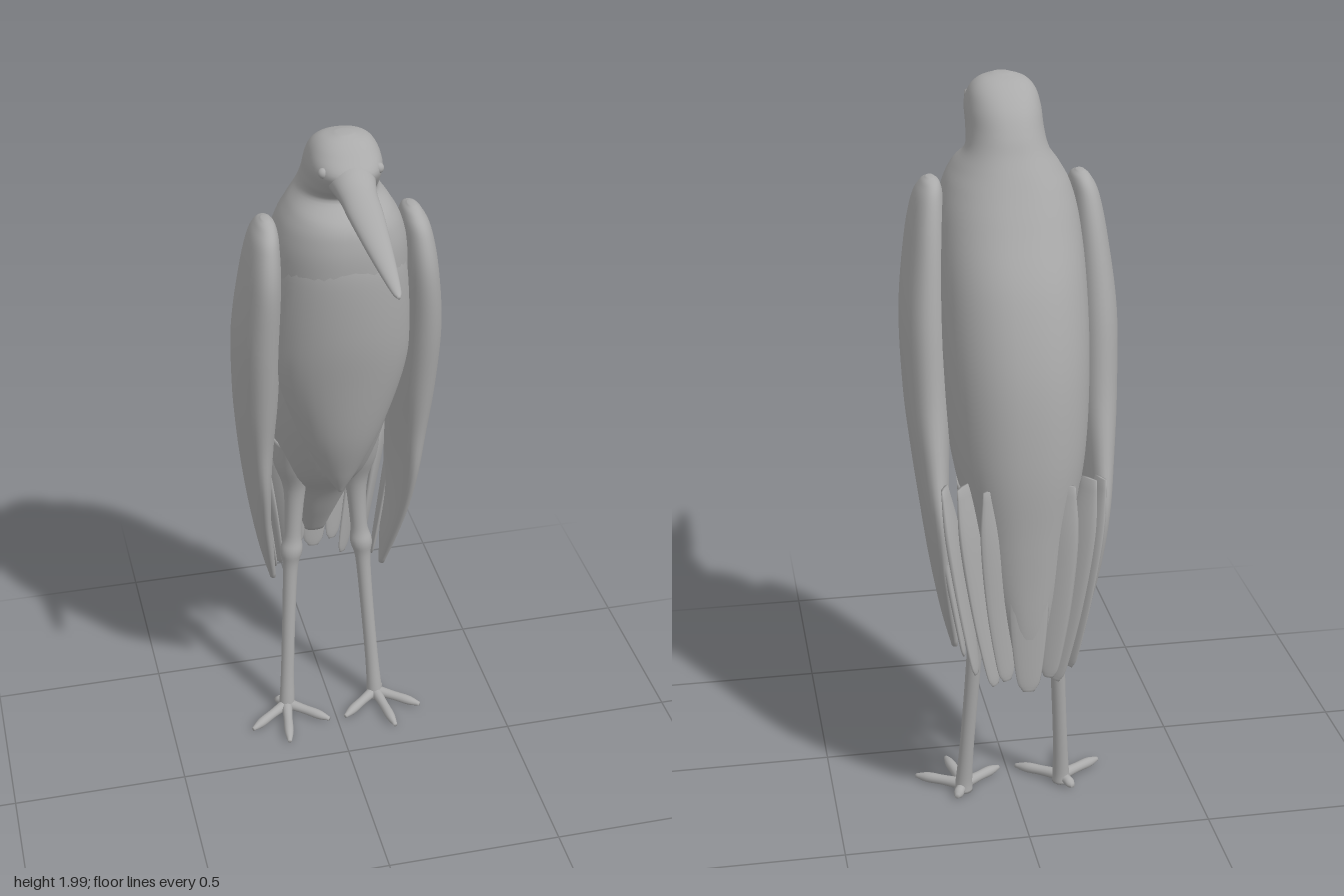
import * as THREE from 'three';

const plumage = new THREE.MeshStandardMaterial({ color: 0xaaaaaa });
plumage.name = 'grey';

// Smooth closed skin through sections [x, y, z, a, b]; sections climb along y, or along z.
function loft(rows, { axis = 'y', steps = 40, sides = 32, power = 1 } = {}) {
  const curve = (f) => new THREE.CatmullRomCurve3(rows.map(f), false, 'catmullrom', 0.5);
  const mid = curve((r) => new THREE.Vector3(r[0], r[1], r[2]));
  const size = curve((r) => new THREE.Vector3(r[3], r[4], 0));
  const pos = [], idx = [];
  const bend = (v) => Math.sign(v) * Math.pow(Math.abs(v), power);
  for (let i = -1; i <= steps + 1; i++) {
    const t = THREE.MathUtils.clamp(i / steps, 0, 1);
    const c = mid.getPoint(t), s = size.getPoint(t);
    const k = i < 0 || i > steps ? 0 : 1; // closed ends
    for (let j = 0; j < sides; j++) {
      const a = (j / sides) * Math.PI * 2;
      const u = bend(Math.cos(a)) * Math.max(s.x, 0.001) * k;
      const v = bend(Math.sin(a)) * Math.max(s.y, 0.001) * k;
      if (axis === 'y') pos.push(c.x + u, c.y, c.z + v);
      else pos.push(c.x + u, c.y - v, c.z);
    }
  }
  for (let i = 0; i < steps + 2; i++) {
    for (let j = 0; j < sides; j++) {
      const n = (j + 1) % sides;
      const a = i * sides + j, b = i * sides + n, c = a + sides, d = b + sides;
      idx.push(a, c, b, b, c, d);
    }
  }
  const g = new THREE.BufferGeometry();
  g.setAttribute('position', new THREE.Float32BufferAttribute(pos, 3));
  g.setIndex(idx);
  g.computeVertexNormals();
  return g;
}

// Section from its extents: height, front z, back z, inner x, outer x
const section = (s) => ([y, zf, zb, xi, xo]) =>
  [s * (xi + xo) / 2, y, (zf + zb) / 2, (xo - xi) / 2, (zf - zb) / 2];

export function createModel() {
  const model = new THREE.Group();
  model.name = 'wadingBird';
  const add = (name, geometry, parent = model) => {
    const m = new THREE.Mesh(geometry, plumage);
    m.name = name;
    parent.add(m);
    return m;
  };

  // Body, neck and head in one skin: height, front z, back z, half width
  const body = [
    [0.52, -0.44, -0.475, 0.03], [0.62, -0.38, -0.485, 0.06], [0.75, -0.3, -0.49, 0.1],
    [0.88, -0.18, -0.495, 0.135], [1.08, -0.08, -0.5, 0.175], [1.3, -0.01, -0.478, 0.19],
    [1.5, 0.055, -0.42, 0.192], [1.65, 0.07, -0.345, 0.182], [1.73, 0.066, -0.303, 0.163],
    [1.78, 0.046, -0.277, 0.137], [1.825, -0.012, -0.253, 0.106], [1.87, 0.04, -0.232, 0.098],
    [1.92, 0.075, -0.2, 0.096], [1.96, 0.035, -0.157, 0.084], [1.985, 0, -0.115, 0.06],
    [1.998, -0.03, -0.07, 0.02],
  ];
  add('body', loft(body.map(([y, f, b, w]) => section(1)([y, f, b, -w, w])),
    { steps: 90, sides: 48, power: 0.9 }));

  // Breast plumage, narrowing to a point over the belly
  const breast = [
    [0.88, -0.1, -0.115, 0.006], [0.96, -0.06, -0.17, 0.055], [1.1, -0.008, -0.22, 0.12],
    [1.3, 0.036, -0.24, 0.18], [1.45, 0.062, -0.24, 0.186], [1.62, 0.073, -0.22, 0.17],
    [1.72, 0.06, -0.2, 0.14],
  ];
  add('breast', loft(breast.map(([y, f, b, w]) => section(1)([y, f, b, -w, w])), { steps: 50 }));

  // Long pointed beak
  add('beak', loft([
    [0, 1.905, -0.02, 0.075, 0.04], [0, 1.9, 0.05, 0.058, 0.046], [0, 1.888, 0.11, 0.048, 0.034],
    [0, 1.875, 0.19, 0.044, 0.026], [0, 1.847, 0.35, 0.029, 0.018],
    [0, 1.825, 0.48, 0.013, 0.009], [0, 1.82, 0.51, 0.004, 0.004],
  ], { axis: 'z' }));

  // A flat feather hanging from a root to a rounded tip, turned about its length
  const feather = (name, root, tip, width, yaw, parent) => {
    const from = new THREE.Vector3(...tip), dir = new THREE.Vector3(...root).sub(from);
    const len = dir.length();
    const g = loft([
      [0, 0, 0, width * 0.3, 0.004], [0, len * 0.08, 0, width * 0.65, 0.007],
      [0, len * 0.4, 0, width, 0.011], [0, len * 0.75, 0, width, 0.014],
      [0, len, 0, width * 0.5, 0.006],
    ], { steps: 20, sides: 16 });
    const m = add(name, g.rotateY(yaw), parent);
    m.quaternion.setFromUnitVectors(new THREE.Vector3(0, 1, 0), dir.normalize());
    m.position.copy(from);
  };
  feather('tailFeather', [0, 1.02, -0.47], [0, 0.44, -0.475], 0.052, 0, model);

  const wingRows = [
    [0.49, -0.265, -0.29, 0.158, 0.175], [0.6, -0.215, -0.335, 0.165, 0.203],
    [0.75, -0.152, -0.375, 0.178, 0.23], [0.9, -0.103, -0.392, 0.18, 0.25],
    [1.05, -0.082, -0.352, 0.172, 0.268], [1.2, -0.053, -0.312, 0.163, 0.281],
    [1.4, -0.015, -0.278, 0.16, 0.284], [1.58, 0.005, -0.237, 0.16, 0.264],
    [1.69, -0.018, -0.2, 0.163, 0.243], [1.735, -0.055, -0.17, 0.17, 0.222],
    [1.752, -0.095, -0.13, 0.185, 0.205],
  ];
  const legRows = [
    [0.14, 0.008, -0.24, 0.026, 0.026], [0.138, 0.05, -0.242, 0.023, 0.023],
    [0.132, 0.16, -0.255, 0.02, 0.02], [0.12, 0.36, -0.275, 0.02, 0.021],
    [0.111, 0.51, -0.287, 0.023, 0.024], [0.106, 0.57, -0.29, 0.033, 0.032],
    [0.1, 0.63, -0.295, 0.025, 0.026], [0.092, 0.78, -0.3, 0.033, 0.036],
    [0.095, 0.88, -0.3, 0.058, 0.07], [0.1, 0.98, -0.3, 0.06, 0.1],
  ];
  // Feathers: root, tip, half width, yaw
  const feathers = [
    [[0.225, 0.98, -0.33], [0.15, 0.49, -0.335], 0.045, 1.35],
    [[0.205, 1.0, -0.38], [0.125, 0.46, -0.39], 0.045, 1.1],
    [[0.165, 1.02, -0.425], [0.08, 0.44, -0.425], 0.045, 0.75],
    [[0.1, 1.02, -0.46], [0.055, 0.47, -0.46], 0.042, 0.4],
  ];
  // Toe ends: x and z
  const toes = [[0.262, -0.155], [0.165, -0.075], [0.025, -0.15], [0.165, -0.285]];

  for (const [s, side] of [[1, 'left'], [-1, 'right']]) {
    add(side + 'Wing', loft(wingRows.map(section(s)), { steps: 60, power: 0.95 }));

    const tail = new THREE.Group();
    tail.name = side + 'Feathers';
    model.add(tail);
    for (const [r, t, w, yaw] of feathers) {
      feather(side + 'Feather', [s * r[0], r[1], r[2]], [s * t[0], t[1], t[2]], w, s * yaw, tail);
    }

    add(side + 'Leg', loft(legRows.map(([x, ...r]) => [s * x, ...r]), { steps: 50, sides: 20 }));

    // Foot with three front toes and a hind toe
    const foot = new THREE.Group();
    foot.name = side + 'Foot';
    foot.position.set(s * 0.14, 0, -0.24);
    model.add(foot);
    for (const [x, z] of toes) {
      const dx = s * (x - 0.14), dz = z + 0.24, len = Math.hypot(dx, dz);
      const toe = add(side + 'Toe', loft([
        [0, 0.026, -0.01, 0.018, 0.018], [0, 0.022, len * 0.4, 0.014, 0.014],
        [0, 0.018, len * 0.75, 0.014, 0.014], [0, 0.014, len, 0.006, 0.006],
      ], { axis: 'z', steps: 14, sides: 14 }), foot);
      toe.rotation.y = Math.atan2(dx, dz);
    }

    // Eye
    const eye = add(side + 'Eye', new THREE.SphereGeometry(0.014, 16, 12));
    eye.position.set(s * 0.071, 1.925, 0.025);
  }
  return model;
}
